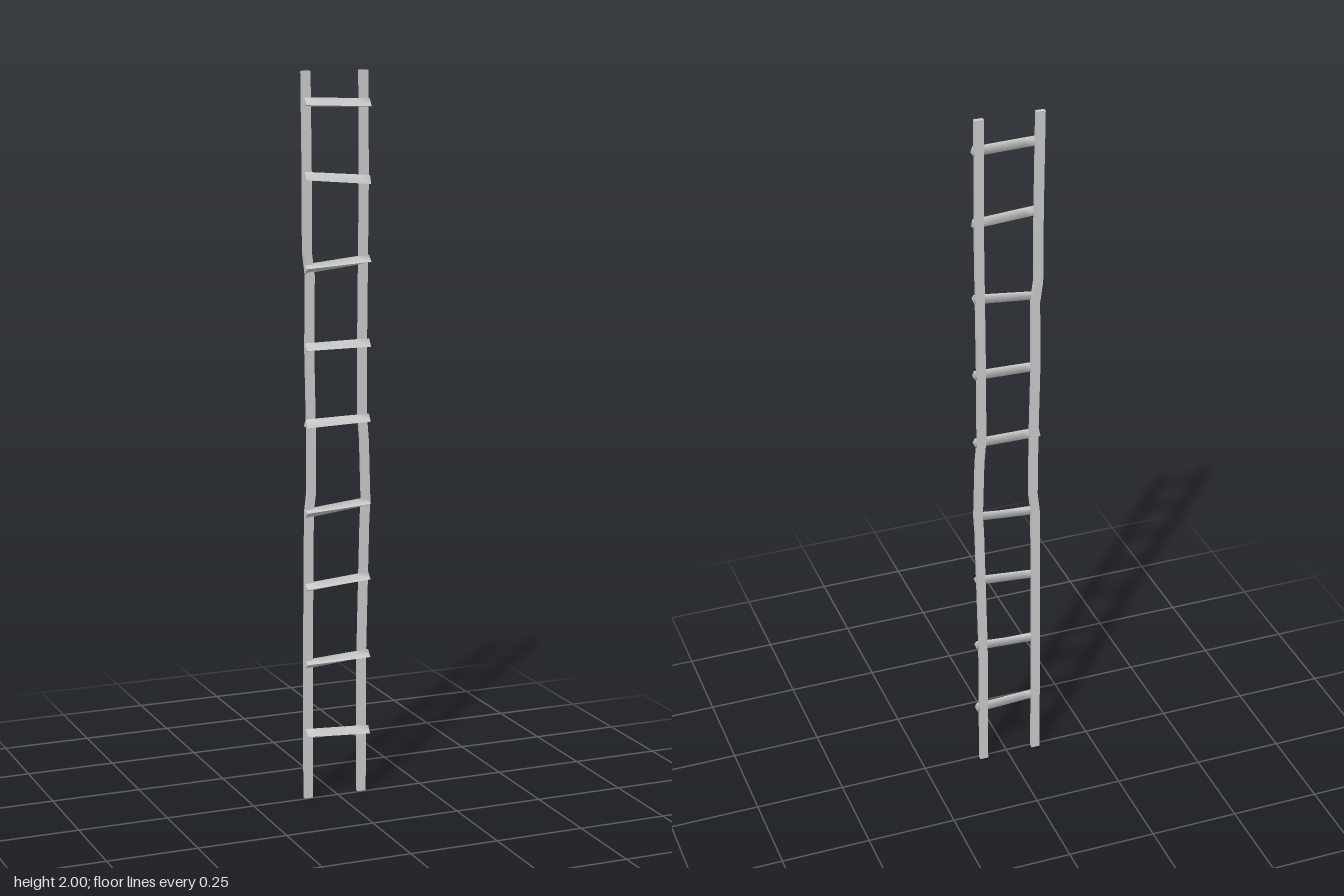
import * as THREE from 'three';

const material = new THREE.MeshStandardMaterial({ color: 0xcccccc });

// Flat pole whose centre line wanders sideways: points are [x, y]
function makeRail(name, points) {
  const half = 0.012;
  const shape = new THREE.Shape([
    ...points.map(([x, y]) => new THREE.Vector2(x + half, y)),
    ...points.slice().reverse().map(([x, y]) => new THREE.Vector2(x - half, y)),
  ]);
  const geometry = new THREE.ExtrudeGeometry(shape, { depth: 0.013, bevelEnabled: false });
  geometry.translate(0, 0, -0.016);
  const rail = new THREE.Mesh(geometry, material);
  rail.name = name;
  return rail;
}

// Three-sided split-wood rung, tilted and slightly twisted along its length
function makeRung(index, yRight, yLeft, phase, twist) {
  const length = 0.186;
  const geometry = new THREE.CylinderGeometry(0.0145, 0.0145, length, 3, 4);
  geometry.rotateZ(-Math.PI / 2);
  const pos = geometry.attributes.position;
  const v = new THREE.Vector3();
  const axis = new THREE.Vector3(1, 0, 0);
  for (let i = 0; i < pos.count; i++) {
    v.fromBufferAttribute(pos, i);
    const t = v.x / length;
    v.applyAxisAngle(axis, phase + twist * t);
    v.y += (yLeft - yRight) * t;
    pos.setXYZ(i, v.x, v.y, v.z);
  }
  geometry.computeVertexNormals();
  const rung = new THREE.Mesh(geometry, material);
  rung.name = `rung${index + 1}`;
  rung.position.set(-0.001, (yRight + yLeft) / 2, 0);
  return rung;
}

export function createModel() {
  const ladder = new THREE.Group();
  ladder.name = 'ladder';

  // Side rails
  ladder.add(makeRail('rightRail', [
    [-0.085, 0], [-0.085, 0.39], [-0.083, 0.6], [-0.081, 0.81], [-0.074, 0.87],
    [-0.075, 1.06], [-0.079, 1.26], [-0.077, 1.46], [-0.085, 1.52], [-0.085, 1.72], [-0.088, 2],
  ]));
  ladder.add(makeRail('leftRail', [
    [0.074, 0], [0.074, 0.39], [0.079, 0.61], [0.083, 0.78], [0.086, 0.83],
    [0.081, 1.0], [0.075, 1.07], [0.075, 1.27], [0.077, 1.49], [0.079, 1.71], [0.077, 2],
  ]));

  // Rungs: height at each end, roll and twist
  const rungs = [
    [0.187, 0.177, 0.4, 0.2], [0.386, 0.396, 0.1, 0.5], [0.602, 0.617, 0.2, 0.2],
    [0.811, 0.828, 0.0, 0.4], [1.057, 1.06, 0.5, -0.2], [1.264, 1.267, 0.4, 0.2],
    [1.478, 1.495, 0.1, 0.4], [1.722, 1.708, 0.6, 0.2], [1.917, 1.911, 0.4, 0.1],
  ];
  rungs.forEach((r, i) => ladder.add(makeRung(i, ...r)));
  return ladder;
}
